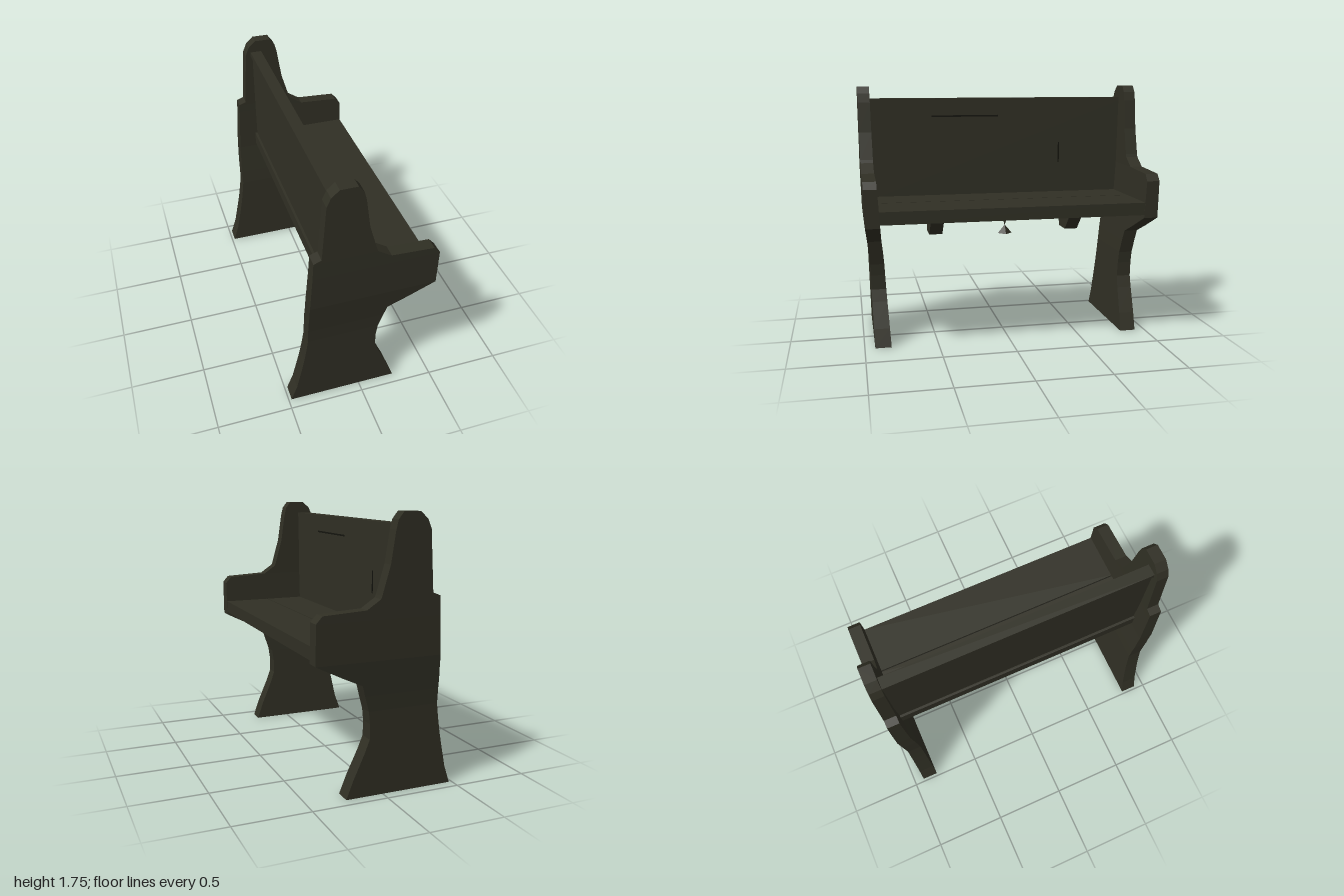
import * as THREE from 'three';

const wood = new THREE.MeshStandardMaterial({ color: 0x302f24 });
wood.name = 'dark wood';
wood.flatShading = true;
const groove = new THREE.MeshStandardMaterial({ color: 0x14140e });
groove.name = 'groove shadow';

// side panel rows: height, back edge, front edge
const rows = [
  [0.01, -0.48, 0.25], [0.13, -0.44, 0.205], [0.3, -0.405, 0.13], [0.38, -0.39, 0.10],
  [0.48, -0.375, 0.10], [0.56, -0.365, 0.11], [0.66, -0.365, 0.14], [0.73, -0.365, 0.16],
  [0.79, -0.362, 0.29], [0.88, -0.36, 0.47], [1.13, -0.345, 0.47], [1.175, -0.343, 0.43],
  [1.19, -0.342, 0.15], [1.25, -0.34, 0.06], [1.27, -0.29, 0.052], [1.45, -0.278, 0],
  [1.65, -0.265, -0.03], [1.71, -0.24, -0.045], [1.755, -0.19, -0.08],
];

// heights where the panel changes lean: height, inner z, outer z
const lean = [[0, 0.82, 0.93], [0.6, 0.85, 0.945], [0.9, 0.885, 0.98], [1.2, 0.9, 0.985], [1.8, 0.91, 0.99]];
function panelZ(y) {
  const i = Math.max(1, lean.findIndex((l) => l[0] >= y));
  const a = lean[i - 1], b = lean[i], t = (y - a[0]) / (b[0] - a[0]);
  return [1, 2].map((k) => a[k] + (b[k] - a[k]) * t);
}

// loft of rectangular sections stacked in y
function sidePanel(side) {
  const pos = [];
  const rings = rows.map(([y, x0, x1]) => {
    const [zLo, zHi] = panelZ(y).map((z) => z * side).sort((a, b) => a - b);
    return [[x0, y, zHi], [x1, y, zHi], [x1, y, zLo], [x0, y, zLo]];
  });
  const quad = (a, b, c, d) => pos.push(...a, ...b, ...c, ...a, ...c, ...d);
  for (let i = 0; i < rings.length - 1; i++) {
    for (let k = 0; k < 4; k++) {
      const n = (k + 1) % 4;
      quad(rings[i][k], rings[i][n], rings[i + 1][n], rings[i + 1][k]);
    }
  }
  const [a, b, c, d] = rings[0];
  quad(d, c, b, a);
  quad(...rings[rings.length - 1]);
  const g = new THREE.BufferGeometry();
  g.setAttribute('position', new THREE.Float32BufferAttribute(pos, 3));
  g.computeVertexNormals();
  return g;
}

export function createModel() {
  const model = new THREE.Group();
  model.name = 'bench';

  function add(name, geometry, material = wood) {
    const mesh = new THREE.Mesh(geometry, material);
    mesh.name = name;
    model.add(mesh);
    return mesh;
  }
  // box from its limits
  function box(name, x0, x1, y0, y1, z0, z1, material) {
    add(name, new THREE.BoxGeometry(x1 - x0, y1 - y0, z1 - z0), material)
      .position.set((x0 + x1) / 2, (y0 + y1) / 2, (z0 + z1) / 2);
  }

  // end panels with arm and foot
  add('leftEndPanel', sidePanel(-1));
  add('rightEndPanel', sidePanel(1));

  // seat: base board, two planks with a narrow seam
  box('seatBase', -0.23, 0.46, 0.9, 0.965, -0.9, 0.9);
  box('rearSeatPlank', -0.15, 0.127, 0.965, 0.985, -0.9, 0.9);
  box('frontSeatPlank', 0.135, 0.468, 0.9, 0.985, -0.895, 0.895);
  box('seatSeam', 0.127, 0.135, 0.965, 0.97, -0.9, 0.9, groove);

  // backrest and its top rail
  box('backrest', -0.215, -0.15, 0.965, 1.65, -0.91, 0.91);
  box('topRail', -0.228, -0.148, 1.64, 1.672, -0.91, 0.91);
  box('rearLedge', -0.232, -0.215, 0.9, 0.99, -0.9, 0.9);

  // scored marks on the backrest
  box('longMark', -0.15, -0.146, 1.541, 1.552, 0, 0.48, groove);
  box('shortMark', -0.15, -0.146, 1.2, 1.35, -0.455, -0.447, groove);

  // tapered brackets under the seat
  const profile = new THREE.Shape([[-0.12, 0.91], [-0.04, 0.75], [0.1, 0.75], [0.26, 0.91]]
    .map(([x, y]) => new THREE.Vector2(x, y)));
  for (const z of [0.49, -0.48]) {
    const g = new THREE.ExtrudeGeometry(profile, { depth: 0.09, bevelEnabled: false });
    g.translate(0, 0, z - 0.045);
    add('seatBracket', g);
  }

  // middle stud with a splayed tip
  const stud = add('middleStud', new THREE.ConeGeometry(0.035, 0.12, 4));
  stud.rotation.x = Math.PI;
  stud.position.set(0.08, 0.85, 0);
  add('studTip', new THREE.ConeGeometry(0.05, 0.06, 4)).position.set(0.08, 0.765, 0);

  return model;
}
